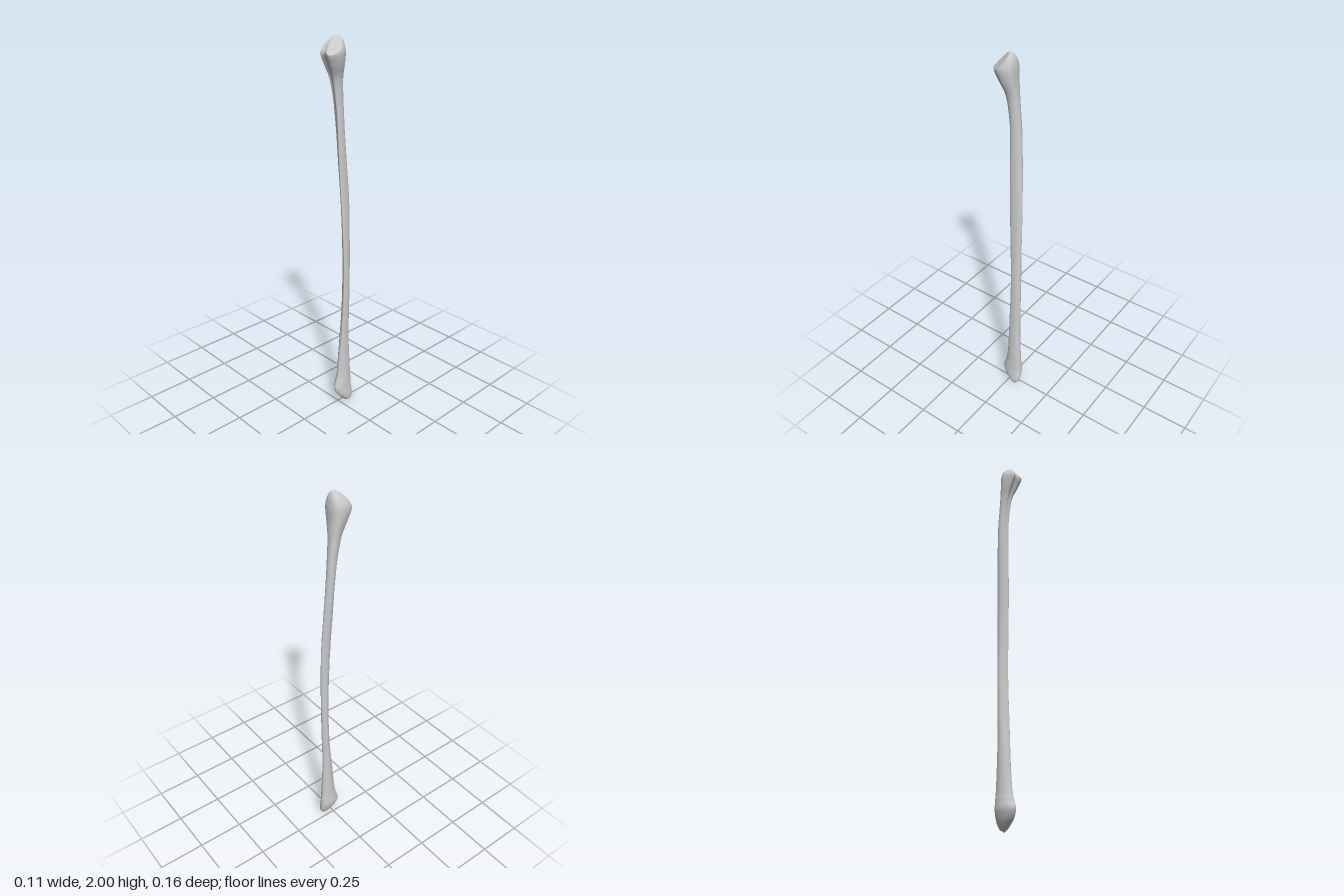
import * as THREE from 'three';

// Outlines of the bone, seen from above as (x, z) in a unit box, starting at +x and turning towards +z
const ankleOutline = [[1, 0], [0.75, 0.65], [0.1, 1], [-0.7, 0.7], [-1, 0], [-0.7, -0.75], [0, -1], [0.75, -0.75]];
const shaftOutline = [[1, 0.4], [0.75, 1], [0.1, 0.85], [-0.6, 0.5], [-1, -0.1], [-0.75, -0.75], [0, -1], [0.75, -0.5]];
const headOutline = [[1, 0.15], [0.45, 1], [-0.25, 0.8], [-0.7, 0.85], [-1, -0.1], [-0.8, -0.75], [-0.1, -1], [0.75, -0.8]];

// Cross-sections from the ankle up: height, min x, max x, min z, max z
const sections = [
  [0.005, 0.026, 0.034, -0.047, -0.037],
  [0.012, 0.016, 0.042, -0.062, -0.026],
  [0.03, 0.004, 0.047, -0.073, -0.008],
  [0.06, -0.01, 0.047, -0.078, 0.02],
  [0.1, -0.021, 0.043, -0.078, 0.036],
  [0.14, -0.019, 0.041, -0.076, 0.026],
  [0.2, -0.015, 0.038, -0.072, 0.014],
  [0.4, -0.011, 0.033, -0.065, 0],
  [0.6, -0.008, 0.034, -0.067, -0.013],
  [0.8, -0.007, 0.034, -0.069, -0.018],
  [1.0, -0.006, 0.03, -0.07, -0.013],
  [1.2, -0.011, 0.024, -0.069, -0.006],
  [1.4, -0.024, 0.016, -0.06, 0],
  [1.6, -0.036, 0.011, -0.048, 0.005],
  [1.7, -0.037, 0.011, -0.04, 0.013],
  [1.8, -0.042, 0.019, -0.03, 0.03],
  [1.87, -0.051, 0.041, -0.025, 0.061],
  [1.92, -0.054, 0.051, -0.025, 0.083],
  [1.95, -0.048, 0.046, -0.023, 0.07],
  [1.975, -0.034, 0.034, -0.018, 0.05],
  [1.993, -0.018, 0.022, -0.009, 0.03],
  [2.0, -0.006, 0.01, 0, 0.016],
];

const SIDES = 48;
const STEPS = 210;

// Smooth closed ring through an outline, fitted to the unit box
function smoothRing(outline) {
  const curve = new THREE.CatmullRomCurve3(outline.map(([x, z]) => new THREE.Vector3(x, 0, z)), true, 'catmullrom', 0.5);
  const ring = Array.from({ length: SIDES }, (_, i) => curve.getPoint(i / SIDES));
  const box = new THREE.Box3().setFromPoints(ring);
  const mid = box.getCenter(new THREE.Vector3());
  const size = box.getSize(new THREE.Vector3());
  return ring.map((p) => new THREE.Vector3(2 * (p.x - mid.x) / size.x, 0, 2 * (p.z - mid.z) / size.z));
}

function boneGeometry() {
  const ankle = smoothRing(ankleOutline);
  const shaft = smoothRing(shaftOutline);
  const head = smoothRing(headOutline);
  const spline = (points) => new THREE.CatmullRomCurve3(points, false, 'catmullrom', 0.5);
  const centre = spline(sections.map(([y, x0, x1, z0, z1]) => new THREE.Vector3((x0 + x1) / 2, y, (z0 + z1) / 2)));
  const half = spline(sections.map(([y, x0, x1, z0, z1]) => new THREE.Vector3((x1 - x0) / 2, y, (z1 - z0) / 2)));

  const positions = [];
  const indices = [];
  for (let j = 0; j <= STEPS; j++) {
    const c = centre.getPoint(j / STEPS);
    const h = half.getPoint(j / STEPS);
    const toShaft = THREE.MathUtils.smoothstep(c.y, 0.15, 0.6);
    const toHead = THREE.MathUtils.smoothstep(c.y, 1.5, 1.88);
    for (let i = 0; i < SIDES; i++) {
      const p = ankle[i].clone().lerp(shaft[i], toShaft).lerp(head[i], toHead);
      const x = c.x + p.x * h.x;
      const z = c.z + p.z * h.z;
      // The joint facet slopes down to the left and front of the head
      const facet = 2.0 - 0.85 * (x - 0.005) - 0.9 * (z - 0.008);
      positions.push(x, c.y > 1.9 ? Math.min(c.y, facet) : c.y, z);
    }
  }
  for (let j = 0; j < STEPS; j++) {
    for (let i = 0; i < SIDES; i++) {
      const a = j * SIDES + i;
      const b = j * SIDES + (i + 1) % SIDES;
      indices.push(a, a + SIDES, b, b, a + SIDES, b + SIDES);
    }
  }
  // Close both ends
  const last = STEPS * SIDES;
  const bottom = positions.length / 3;
  const low = centre.getPoint(0);
  const high = centre.getPoint(1);
  positions.push(low.x, 0, low.z, high.x, 2.0, high.z);
  for (let i = 0; i < SIDES; i++) {
    const n = (i + 1) % SIDES;
    indices.push(bottom, i, n, bottom + 1, last + n, last + i);
  }

  const geometry = new THREE.BufferGeometry();
  geometry.setAttribute('position', new THREE.Float32BufferAttribute(positions, 3));
  geometry.setIndex(indices);
  geometry.computeVertexNormals();
  return geometry;
}

export function createModel() {
  const model = new THREE.Group();
  model.name = 'fibula';
  const bone = new THREE.Mesh(boneGeometry(), new THREE.MeshStandardMaterial({ color: 0xcccccc }));
  bone.name = 'bone';
  model.add(bone);
  return model;
}
